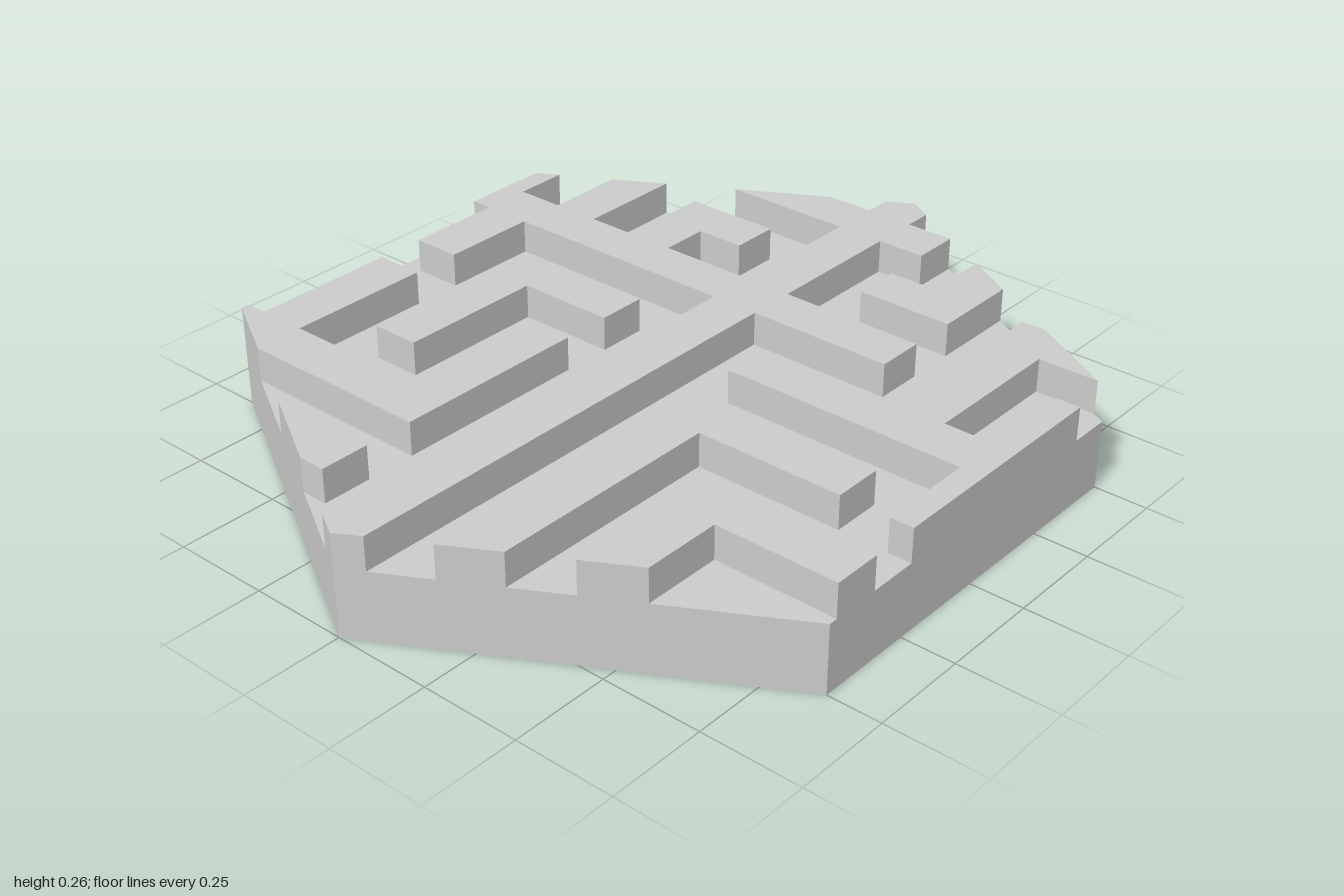
import * as THREE from 'three';

const BASE = 0.172, TOP = 0.257, PITCH = 0.1245, SLOPE = Math.sqrt(3), EDGE = SLOPE / 2;
const gx = i => 0.02 + PITCH * i;
const gz = j => 0.06 + PITCH * j;

// Outline points: grid node, tile border on a row (side -1/1), tile border on a column (side -1/1)
const G = (i, j) => [gx(i), gz(j)];
const row = (side, j) => [side * (1 - Math.abs(gz(j)) / SLOPE), gz(j)];
const col = (i, side) => [gx(i), side * Math.min(EDGE, SLOPE * (1 - Math.abs(gx(i))))];

const hexagon = [[1, 0], [0.5, EDGE], [-0.5, EDGE], [-1, 0], [-0.5, -EDGE], [0.5, -EDGE]];

const walls = {
  spineWall: [
    row(-1, -1), G(2, -1), G(2, -6), G(0, -6), G(0, -7), G(2, -7), col(2, -1), hexagon[5],
    row(1, -7), G(3, -7), G(3, -6), row(1, -6), row(1, -5), G(3, -5), G(3, -4), G(5, -4),
    G(5, -2), G(4, -2), G(4, -3), G(3, -3), G(3, -1), G(6, -1), col(6, -1), col(7, -1),
    G(7, -1), row(1, -1), hexagon[0], row(1, 0), G(7, 0), G(7, 1), G(6, 1), G(6, 0),
    G(3, 0), G(3, 3), G(2, 3), G(2, 0), row(-1, 0), hexagon[3],
  ],
  backForkWall: [
    col(-5, -1), hexagon[4], col(-4, -1), G(-4, -7), G(-1, -7), G(-1, -6), G(-4, -6),
    G(-4, -3), G(-1, -3), G(-1, -2), G(-5, -2),
  ],
  backHookWall: [G(-3, -5), G(1, -5), G(1, -2), G(0, -2), G(0, -4), G(-3, -4)],
  backStubWall: [col(-7, -1), col(-6, -1), G(-6, -2), G(-7, -2)],
  frontLongBendWall: [row(-1, 1), G(-1, 1), G(-1, 5), G(-2, 5), G(-2, 2), row(-1, 2)],
  frontShortBendWall: [row(-1, 3), G(-3, 3), col(-3, 1), col(-4, 1), G(-4, 4), row(-1, 4)],
  frontStepWall: [G(4, 1), G(5, 1), G(5, 2), row(1, 2), row(1, 3), G(4, 3)],
  frontForkWall: [
    G(0, 1), G(1, 1), G(1, 4), G(5, 4), col(5, 1), col(4, 1), G(4, 5), G(1, 5), G(1, 6),
    G(3, 6), col(3, 1), col(-2, 1), G(-2, 6), G(0, 6),
  ],
};

// Upright prism over an x,z outline
function prism(name, outline, y, height, material) {
  const shape = new THREE.Shape(outline.map(([x, z]) => new THREE.Vector2(x, -z)));
  const geometry = new THREE.ExtrudeGeometry(shape, { depth: height, bevelEnabled: false });
  geometry.rotateX(-Math.PI / 2);
  const mesh = new THREE.Mesh(geometry, material);
  mesh.name = name;
  mesh.position.y = y;
  return mesh;
}

export function createModel() {
  const material = new THREE.MeshStandardMaterial({ color: 0xcccccc, flatShading: true });
  const model = new THREE.Group();
  model.name = 'hexagonalMazeTile';

  // Solid base whose top is the maze floor
  model.add(prism('base', hexagon, 0, BASE, material));

  // Raised maze walls, cut off at the tile border
  const maze = new THREE.Group();
  maze.name = 'mazeWalls';
  for (const [name, outline] of Object.entries(walls)) {
    maze.add(prism(name, outline, BASE, TOP - BASE, material));
  }
  model.add(maze);
  return model;
}
